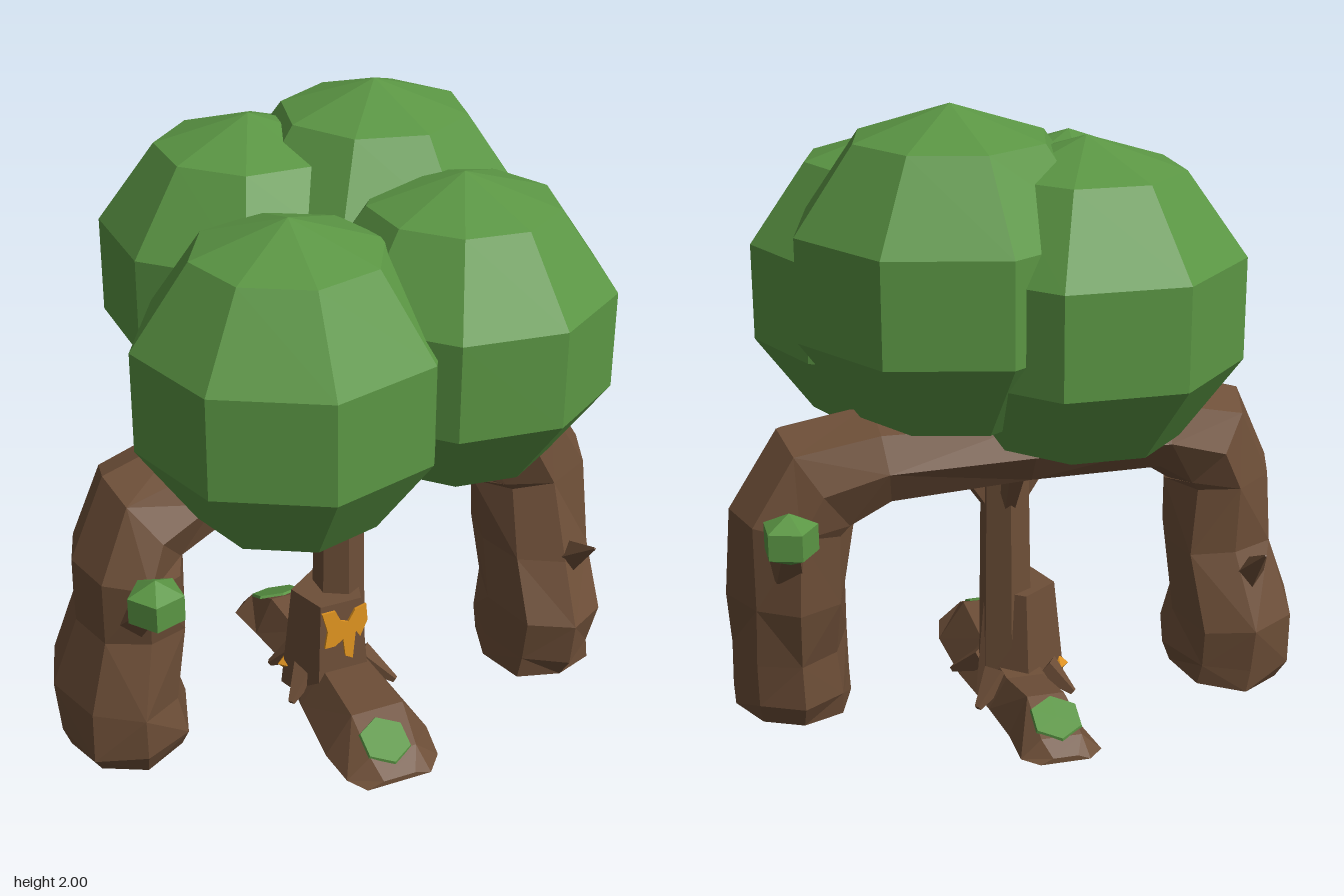
import * as THREE from 'three';

const mat = (name, color) => {
  const m = new THREE.MeshStandardMaterial({ color });
  m.name = name;
  return m;
};

// small seeded generator for hewn irregularity
function seeded(s) {
  return () => (s = (s * 16807) % 2147483647) / 2147483647;
}

// faceted normals
function facet(g) {
  const f = g.index ? g.toNonIndexed() : g;
  f.computeVertexNormals();
  return f;
}

// Closed loft through sections [x, y, z, radius, radius along `side`], kept above the ground
function loft(sections, n, side, jitter = 0, offset = 0) {
  const rnd = seeded(77);
  const pos = [], idx = [];
  const c = sections.map((s) => new THREE.Vector3(s[0], s[1], s[2]));
  const last = c.length - 1;
  c.forEach((p, i) => {
    const t = c[Math.min(i + 1, last)].clone().sub(c[Math.max(i - 1, 0)]);
    const nrm = side.clone().cross(t).normalize();
    for (let j = 0; j < n; j++) {
      const a = ((j + offset) / n) * Math.PI * 2;
      const k = 1 + (rnd() - 0.5) * 2 * jitter;
      const v = p.clone()
        .addScaledVector(nrm, Math.cos(a) * sections[i][3] * k)
        .addScaledVector(side, Math.sin(a) * sections[i][4] * k);
      pos.push(v.x, Math.max(0, v.y), v.z);
    }
  });
  for (let i = 0; i < last; i++) {
    for (let j = 0; j < n; j++) {
      const a = i * n + j, b = i * n + ((j + 1) % n);
      if ((i + j) % 2) idx.push(a, b, a + n, b, b + n, a + n);
      else idx.push(a, b, b + n, a, b + n, a + n);
    }
  }
  for (let j = 1; j < n - 1; j++) {
    idx.push(0, j + 1, j);
    idx.push(last * n, last * n + j, last * n + j + 1);
  }
  const g = new THREE.BufferGeometry();
  g.setAttribute('position', new THREE.Float32BufferAttribute(pos, 3));
  g.setIndex(idx);
  return facet(g);
}

// Tapered twig from a to b
function twig(a, b, r0, r1, sides = 4) {
  const A = new THREE.Vector3(...a), B = new THREE.Vector3(...b);
  const d = B.clone().sub(A);
  const g = new THREE.CylinderGeometry(r1, r0, d.length(), sides);
  g.applyQuaternion(new THREE.Quaternion().setFromUnitVectors(new THREE.Vector3(0, 1, 0), d.normalize()));
  const m = A.add(B).multiplyScalar(0.5);
  g.translate(m.x, m.y, m.z);
  return facet(g);
}

export function createModel() {
  const group = new THREE.Group();
  const bark = mat('bark', 0x6e4f38);
  const leaf = mat('leaf', 0x5b9644);
  const sap = mat('sap', 0xde921f);
  const X = new THREE.Vector3(1, 0, 0), Z = new THREE.Vector3(0, 0, 1);

  const add = (name, geometry, material, place) => {
    const m = new THREE.Mesh(geometry, material);
    m.name = name;
    if (place) m.position.set(...place);
    group.add(m);
    return m;
  };

  // crown: centre, radius, half height, turn, sides
  [
    [-0.24, 1.3, 0.285, 0.49, 0.51, -0.12, 8],
    [0.325, 1.36, 0.26, 0.488, 0.49, 0.4, 9],
    [0.255, 1.5, -0.205, 0.497, 0.5, 0.15, 8],
    [-0.12, 1.415, -0.305, 0.494, 0.495, 0.38, 8],
  ].forEach(([x, y, z, r, h, turn, sides], i) => {
    const g = new THREE.SphereGeometry(1, sides, 5);
    g.scale(r, h, r).rotateY(turn);
    add('crown' + (i + 1), facet(g), leaf, [x, y, z]);
  });

  // shoulders and both arms as one arch, fist to fist
  add('arms', loft([
    [-0.72, 0, 0.02, 0.2, 0.24],
    [-0.73, 0.08, 0.02, 0.205, 0.27],
    [-0.735, 0.23, 0.02, 0.205, 0.28],
    [-0.69, 0.48, 0.05, 0.185, 0.22],
    [-0.7, 0.7, 0.07, 0.18, 0.23],
    [-0.64, 0.83, 0.05, 0.2, 0.21],
    [-0.45, 0.89, 0.02, 0.15, 0.2],
    [0, 0.9, -0.01, 0.125, 0.2],
    [0.45, 0.88, 0.01, 0.15, 0.2],
    [0.65, 0.82, 0.03, 0.2, 0.2],
    [0.725, 0.69, 0.03, 0.19, 0.2],
    [0.735, 0.43, 0.06, 0.19, 0.23],
    [0.73, 0.23, 0.13, 0.185, 0.265],
    [0.725, 0.08, 0.13, 0.19, 0.25],
    [0.725, 0, 0.13, 0.19, 0.22],
  ], 8, Z, 0.08), bark);

  // trunk column with braces under the arch
  add('trunk', twig([0.04, 0.1, 0.02], [0.04, 0.9, 0.02], 0.09, 0.078, 6), bark);
  [[-0.1, 0.03], [0.19, 0.03], [0.04, 0.13], [0.04, -0.12]].forEach(([x, z]) =>
    add('brace', twig([0.04 + (x - 0.04) * 0.25, 0.65, 0.02 + (z - 0.02) * 0.25], [x, 0.84, z], 0.025, 0.042, 5), bark));

  // stump around the trunk, flat side forward
  const stump = new THREE.CylinderGeometry(0.123, 0.16, 0.37, 5);
  stump.rotateY(Math.PI / 5);
  add('stump', facet(stump), bark, [-0.005, 0.185, 0.04]);

  // root slab running front to back
  add('roots', loft([
    [-0.02, 0, -0.5, 0.02, 0.08],
    [-0.02, 0, -0.45, 0.07, 0.13],
    [-0.01, 0, -0.3, 0.15, 0.12],
    [0.01, 0, -0.12, 0.12, 0.12],
    [0.01, 0, 0.14, 0.14, 0.16],
    [0, 0, 0.41, 0.15, 0.18],
    [-0.01, 0, 0.55, 0.075, 0.16],
    [-0.02, 0, 0.62, 0.02, 0.11],
  ], 6, X, 0, 0.5), bark);
  [[0.19, 0.12], [0.17, -0.1], [-0.18, 0.1], [-0.16, -0.08]].forEach(([x, z]) =>
    add('rootSpur', twig([x * 0.5, 0.09, z * 0.6], [x, 0.015, z * 1.3], 0.05, 0.012), bark));

  // moss pads on the root slopes
  [[-0.02, 0.084, 0.512, 0.43], [-0.02, 0.093, -0.388, -0.44]].forEach(([x, y, z, tilt]) => {
    const pad = new THREE.CylinderGeometry(0.082, 0.086, 0.009, 6);
    add('moss', facet(pad), leaf, [x, y, z]).rotation.x = tilt;
  });

  // sap running down the stump, and a drop at its side
  const drip = new THREE.Shape([
    [-0.077, 0.09], [-0.03, 0.09], [-0.012, 0.05], [0.014, 0.04], [0.04, 0.08], [0.08, 0.09],
    [0.083, 0.03], [0.055, -0.025], [0.04, 0.0], [0.026, -0.1], [0.0, -0.085], [-0.006, -0.02],
    [-0.036, -0.04], [-0.072, -0.04], [-0.06, 0.02],
  ].map(([x, y]) => new THREE.Vector2(x, y)));
  add('sapDrip', facet(new THREE.ExtrudeGeometry(drip, { depth: 0.009, bevelEnabled: false })), sap,
    [0, 0.26, 0.151]).rotation.x = -0.08;
  add('sapDrop', facet(new THREE.OctahedronGeometry(0.034)), sap, [-0.135, 0.075, -0.01]);

  // thorns and leafy sprigs on the arms
  add('thorn', twig([0.77, 0.39, 0.22], [0.77, 0.54, 0.42], 0.07, 0.004), bark);
  add('thorn', twig([-0.74, 0.37, -0.12], [-0.74, 0.52, -0.29], 0.065, 0.004), bark);
  [
    [[-0.72, 0.56, 0.2], [-0.72, 0.735, 0.415]],
    [[0.76, 0.58, -0.1], [0.77, 0.74, -0.27]],
  ].forEach(([from, to]) => {
    add('sprigStem', twig(from, to, 0.07, 0.035, 5), bark);
    const tuft = new THREE.SphereGeometry(0.1, 5, 3);
    tuft.scale(1, 0.83, 1);
    add('sprigLeaves', facet(tuft), leaf, to);
  });

  return group;
}
